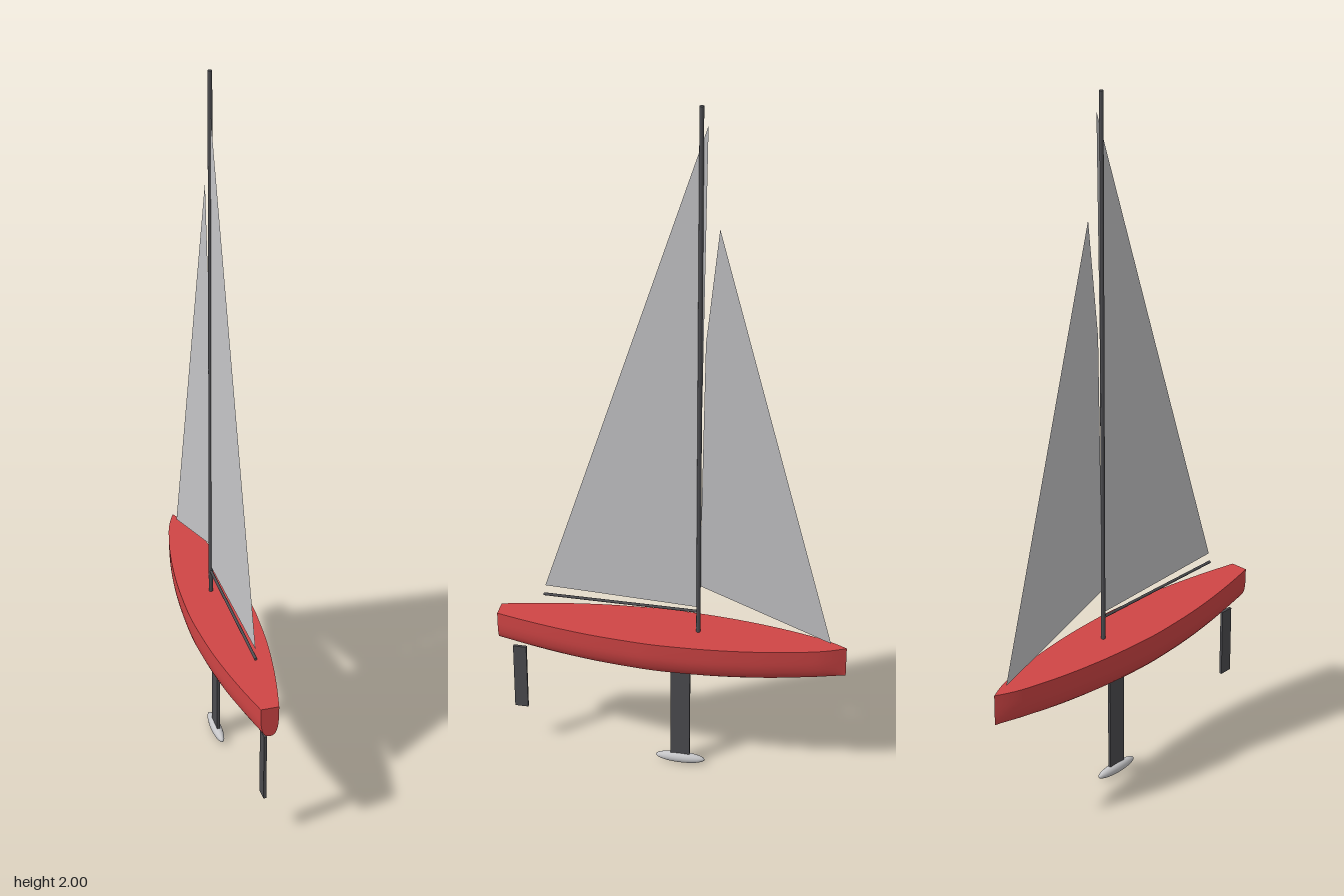
import * as THREE from 'three';

const DECK = 0.455;
const HALF_LENGTH = 0.49;

function material(name, color, side = THREE.FrontSide) {
  const m = new THREE.MeshStandardMaterial({ color, side });
  m.name = name;
  return m;
}

export function createModel() {
  const boat = new THREE.Group();
  boat.name = 'sailboat';
  const red = material('hull red', 0xd04545);
  const dark = material('dark spar grey', 0x4c4c50);
  const sailGrey = material('sail grey', 0xc6c6c8, THREE.DoubleSide);
  const bulbGrey = material('bulb grey', 0xc6c6c8);

  function add(name, geometry, mat, x = 0, y = 0, z = 0) {
    const mesh = new THREE.Mesh(geometry, mat);
    mesh.name = name;
    mesh.position.set(x, y, z);
    boat.add(mesh);
    return mesh;
  }

  // Deck outline: half beam (x) against z, pointed bow at -z, cut stern at +z
  const outline = new THREE.SplineCurve([
    [0, -0.49], [0.019, -0.45], [0.036, -0.4], [0.059, -0.3], [0.075, -0.2], [0.085, -0.1],
    [0.09, 0.02], [0.087, 0.1], [0.079, 0.2], [0.065, 0.3], [0.046, 0.4], [0.025, 0.49],
  ].map(([x, z]) => new THREE.Vector2(x, z))).getPoints(44);

  // Half section as fractions of half beam and depth, deck edge to keel line
  const half = new THREE.SplineCurve([
    [1, 1], [0.99, 0.7], [0.96, 0.48], [0.84, 0.24], [0.6, 0.08], [0.3, 0.015], [0, 0],
  ].map(([x, y]) => new THREE.Vector2(x, y))).getPoints(12);
  const section = [
    ...half,
    ...half.slice(0, -1).reverse().map((p) => new THREE.Vector2(-p.x, p.y)),
  ];
  const stationPoints = (beam, z) => {
    const bottom = 0.335 + 0.03 * (z / HALF_LENGTH) ** 2;
    return section.map((p) => new THREE.Vector2(p.x * beam, bottom + p.y * (DECK - bottom)));
  };

  // Hull skin lofted through the stations
  const positions = [];
  const index = [];
  const n = section.length;
  outline.forEach((o, i) => {
    for (const p of stationPoints(o.x, o.y)) positions.push(p.x, p.y, o.y);
    if (i === outline.length - 1) return;
    for (let j = 0; j < n - 1; j++) {
      const a = i * n + j;
      index.push(a, a + n, a + 1, a + 1, a + n, a + n + 1);
    }
  });
  const skin = new THREE.BufferGeometry();
  skin.setAttribute('position', new THREE.Float32BufferAttribute(positions, 3));
  skin.setIndex(index);
  skin.computeVertexNormals();
  add('hull', skin, red);

  // Flat deck and transom close the hull
  const deckShape = new THREE.Shape([
    ...outline.map((p) => new THREE.Vector2(p.x, -p.y)),
    ...outline.slice(1).reverse().map((p) => new THREE.Vector2(-p.x, -p.y)),
  ]);
  add('deck', new THREE.ShapeGeometry(deckShape).rotateX(-Math.PI / 2), red, 0, DECK, 0);
  const transomShape = new THREE.Shape(stationPoints(0.025, HALF_LENGTH));
  add('transom', new THREE.ShapeGeometry(transomShape), red, 0, 0, HALF_LENGTH);

  // Mast and boom
  add('mast', new THREE.CylinderGeometry(0.006, 0.006, 2 - DECK, 12), dark, 0, (2 + DECK) / 2, -0.077);
  add('boom', new THREE.CylinderGeometry(0.004, 0.004, 0.437, 12).rotateX(Math.PI / 2), dark, 0, 0.521, 0.1415);

  // Sails, given as z, y corners on the centre plane
  const sail = (name, corners) => {
    const shape = new THREE.Shape(corners.map(([z, y]) => new THREE.Vector2(z, y)));
    add(name, new THREE.ShapeGeometry(shape).rotateY(-Math.PI / 2), sailGrey);
  };
  sail('mainsail', [[-0.075, 0.535], [0.355, 0.55], [-0.094, 1.95]]);
  sail('jib', [[-0.446, 0.465], [-0.08, 0.605], [-0.092, 1.35], [-0.126, 1.675]]);

  // Keel fin, ballast bulb and rudder blade
  add('keelFin', new THREE.BoxGeometry(0.008, 0.325, 0.055), dark, 0, 0.1825, -0.027);
  const bulb = add('keelBulb', new THREE.SphereGeometry(1, 24, 16), bulbGrey, 0, 0.016, -0.027);
  bulb.scale.set(0.015, 0.016, 0.071);
  add('rudder', new THREE.BoxGeometry(0.008, 0.205, 0.038), dark, 0, 0.2325, 0.435);

  return boat;
}
